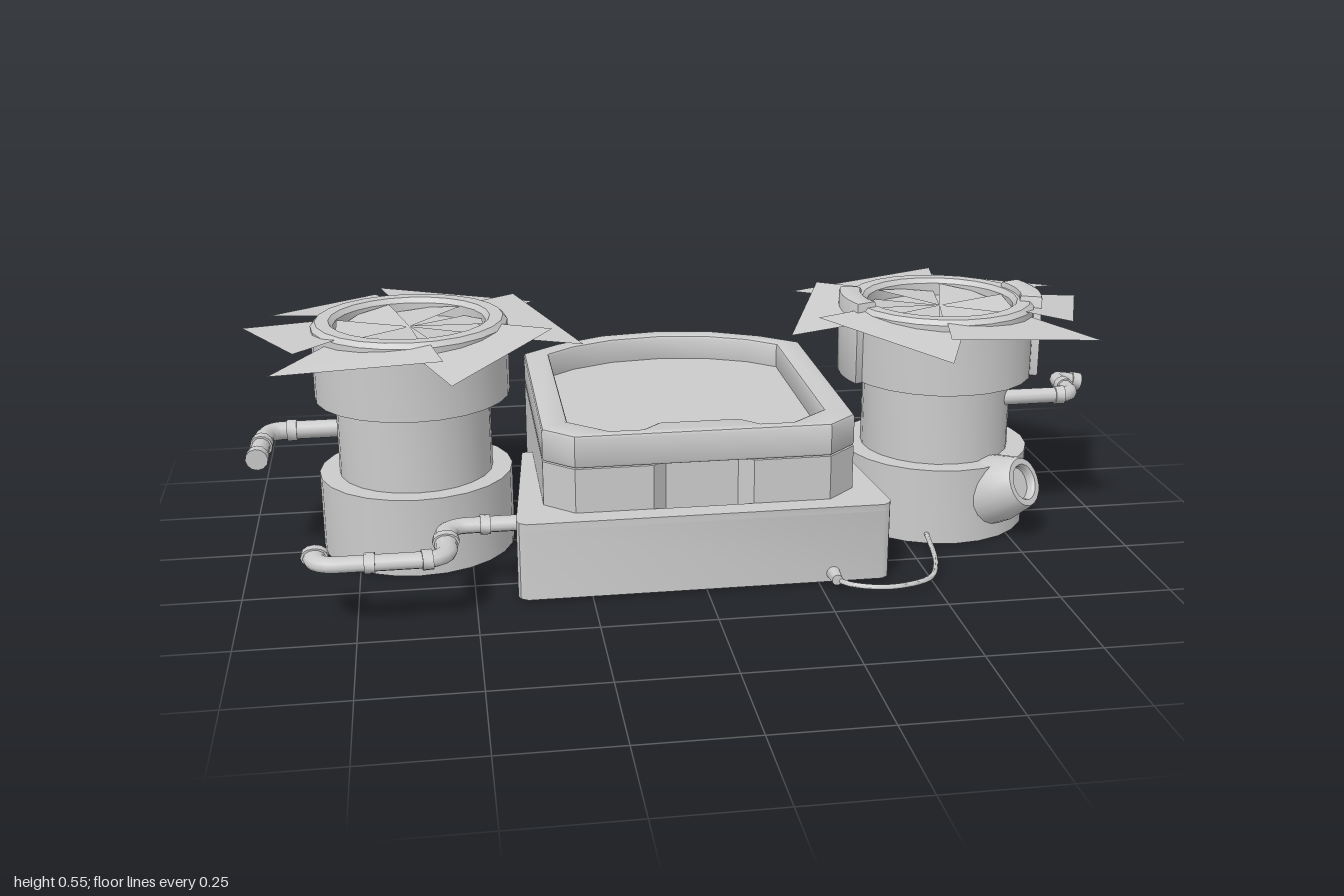
import * as THREE from 'three';
import { toCreasedNormals } from 'three/addons/utils/BufferGeometryUtils.js';

const mat = new THREE.MeshStandardMaterial({ color: 0xcccccc, side: THREE.DoubleSide });
const V = (x, y, z) => new THREE.Vector3(x, y, z);

function add(parent, name, geo, crease = 0.6) {
  const mesh = new THREE.Mesh(toCreasedNormals(geo, crease), mat);
  mesh.name = name;
  parent.add(mesh);
  return mesh;
}

// Closed outline from [x, z] points of the +x half, mirrored to the other half
function outline(half, scale = 1) {
  const all = [...half, ...half.filter(p => p[0] > 0).reverse().map(([x, z]) => [-x, z])];
  return all.map(([x, z]) => new THREE.Vector2(x * scale, -(z + 0.09) * scale + 0.09));
}

// Upright prism between two heights, with an optional hole and bevel
function prism(points, y0, y1, hole, bevel = 0) {
  const shape = new THREE.Shape(points);
  if (hole) shape.holes.push(new THREE.Path(hole));
  const geo = new THREE.ExtrudeGeometry(shape, {
    depth: y1 - y0 - 2 * bevel, bevelEnabled: bevel > 0, bevelSize: bevel,
    bevelThickness: bevel, bevelOffset: -bevel, bevelSegments: 2, curveSegments: 8
  });
  return geo.rotateX(-Math.PI / 2).translate(0, y0 + bevel, 0);
}

// Pipe through corner points with rounded elbows
function bentPath(pts, bend) {
  const path = new THREE.CurvePath();
  let from = pts[0];
  for (let i = 1; i < pts.length - 1; i++) {
    const a = pts[i].clone().add(pts[i - 1].clone().sub(pts[i]).setLength(bend));
    const b = pts[i].clone().add(pts[i + 1].clone().sub(pts[i]).setLength(bend));
    path.add(new THREE.LineCurve3(from, a));
    path.add(new THREE.QuadraticBezierCurve3(a, pts[i], b));
    from = b;
  }
  path.add(new THREE.LineCurve3(from, pts[pts.length - 1]));
  return path;
}

function pipe(parent, name, pts, r, bend, collars) {
  const g = new THREE.Group();
  g.name = name;
  const path = bentPath(pts, bend);
  add(g, 'pipeRun', new THREE.TubeGeometry(path, 48, r, 10), 0.9);
  // Collars and a closing plug
  for (const t of [...collars, 0.985]) {
    const c = add(g, 'pipeCollar', new THREE.CylinderGeometry(r * 1.2, r * 1.2, 0.022, 12));
    c.position.copy(path.getPointAt(t));
    c.quaternion.setFromUnitVectors(V(0, 1, 0), path.getTangentAt(t));
  }
  parent.add(g);
  return g;
}

// Flat faces fanned from rows of corner points
function panels(list) {
  const pos = [];
  for (const p of list)
    for (let i = 1; i < p.length - 1; i++)
      for (const v of [p[0], p[i], p[i + 1]]) pos.push(v.x, v.y, v.z);
  const geo = new THREE.BufferGeometry();
  geo.setAttribute('position', new THREE.Float32BufferAttribute(pos, 3));
  geo.computeVertexNormals();
  return geo;
}

function tower(side) {
  const g = new THREE.Group();
  g.name = side > 0 ? 'leftTower' : 'rightTower';
  g.position.set(side * 0.616, 0, -0.043);

  // Hollow stepped drum with a recessed top
  const profile = [[0.22, 0], [0.22, 0.18], [0.175, 0.18], [0.175, 0.36], [0.22, 0.36], [0.22, 0.525],
    [0.21, 0.536], [0.18, 0.536], [0.17, 0.525], [0.17, 0.495], [0, 0.495]];
  add(g, 'drum', new THREE.LatheGeometry(profile.map(p => new THREE.Vector2(...p)), 24));

  const at = (deg, r, y) => {
    const a = THREE.MathUtils.degToRad(deg);
    return V(-side * r * Math.cos(a), y, r * Math.sin(a));
  };
  const petals = [], fan = [];
  for (let i = 0; i < 6; i++) {
    const d = 18 + i * 60;
    petals.push([at(d, 0.40, 0.492), at(d + 10, 0.215, 0.51), at(d - 60, 0.215, 0.53), at(d - 60, 0.33, 0.525)]);
    fan.push([V(0, 0.515, 0), at(d, 0.168, 0.505), at(d + 28, 0.168, 0.515), at(d + 56, 0.168, 0.525)]);
  }
  add(g, 'outerPetals', panels(petals), 0.1);
  add(g, 'fanBlades', panels(fan), 0.1);
  return g;
}

export function createModel() {
  const model = new THREE.Group();
  model.name = 'twinTowerTray';

  // Central tray: thin skirt, thick rim and raised floor
  const sides = [[0.28, 0.305], [0.345, 0.245], [0.345, -0.335], [0.26, -0.405], [0.14, -0.465], [0, -0.485]];
  const notched = [[0.08, 0.275], [0.11, 0.305], ...sides];
  const inner = [[0.09, 0.235], [0.13, 0.275], [0.2, 0.275], [0.285, 0.2], [0.285, -0.32],
    [0.22, -0.375], [0.12, -0.42], [0, -0.435]];
  const tray = new THREE.Group();
  tray.name = 'tray';
  model.add(tray);
  add(tray, 'traySkirt', prism(outline(notched), 0.02, 0.28, outline(notched, 0.98)));
  add(tray, 'trayRim', prism(outline(sides), 0.28, 0.355, outline(inner), 0.008));
  add(tray, 'trayFloor', prism(outline(sides, 0.97), 0.28, 0.295));

  // Front housing wrapped around the tray, open underneath
  const edge = [[0.39, 0.355], [0.405, 0.345], [0.41, 0.33], [0.37, -0.1], [0.345, -0.1]];
  add(model, 'housingTop', prism(outline([...edge, [0.345, 0.245], [0.28, 0.305]]), 0.165, 0.18));
  add(model, 'housingWall', prism(outline([...edge, [0.345, -0.09], [0.36, -0.09], [0.4, 0.33], [0.385, 0.345]]), 0.005, 0.165));

  const left = tower(1);
  model.add(left, tower(-1));

  // Clamps gripping the head of one tower on both sides
  for (const turn of [0, Math.PI]) {
    const arc = new THREE.Shape();
    arc.absarc(0, 0, 0.236, -0.38, 0.38, false);
    arc.absarc(0, 0, 0.185, 0.38, -0.38, true);
    const geo = prism(arc.getPoints(8), 0.355, 0.55, null, 0.008);
    add(left, 'headClamp', geo).rotation.y = turn;
  }

  // Angled port low on the same tower
  const port = new THREE.Group();
  port.name = 'anglePort';
  const portProfile = [[0.085, -0.1], [0.078, 0], [0.06, 0.06], [0.056, 0.066], [0.042, 0.066], [0.038, 0.06], [0.038, 0.045], [0, 0.045]];
  add(port, 'portBody', new THREE.LatheGeometry(portProfile.map(p => new THREE.Vector2(...p)), 20));
  port.position.set(0.73, 0.12, 0.14);
  port.quaternion.setFromUnitVectors(V(0, 1, 0), V(0.58, 0.42, 0.7).normalize());
  model.add(port);

  // Side pipes
  pipe(model, 'leftPipe', [V(0.72, 0.31, 0.05), V(0.925, 0.31, 0.05), V(0.925, 0.31, -0.085), V(0.985, 0.297, -0.085)],
    0.018, 0.035, [0.45, 0.68]);
  pipe(model, 'rightPipe', [V(-0.73, 0.26, -0.11), V(-0.955, 0.26, -0.11), V(-0.965, 0.25, 0.05)],
    0.021, 0.045, [0.45, 0.78]);

  // Flattened front pipe from the housing
  const front = pipe(model, 'frontPipe',
    [V(-0.4, 0, 0.27), V(-0.56, 0, 0.27), V(-0.56, 0, 0.445), V(-0.83, 0, 0.445), V(-0.83, 0, 0.38)],
    0.024, 0.05, [0.12, 0.36, 0.55, 0.74]);
  front.scale.y = 0.7;
  front.position.y = 0.152;

  // Ground cable with its plug
  const cable = new THREE.CatmullRomCurve3([V(0.28, 0.022, 0.37), V(0.3, 0.022, 0.41), V(0.38, 0.022, 0.44),
    V(0.48, 0.022, 0.41), V(0.52, 0.022, 0.33), V(0.55, 0.022, 0.15)]);
  add(model, 'cable', new THREE.TubeGeometry(cable, 32, 0.006, 8), 1);
  const plug = add(model, 'cablePlug', new THREE.CylinderGeometry(0.012, 0.016, 0.05, 12));
  plug.rotation.x = Math.PI / 2;
  plug.position.set(0.28, 0.025, 0.37);

  return model;
}
